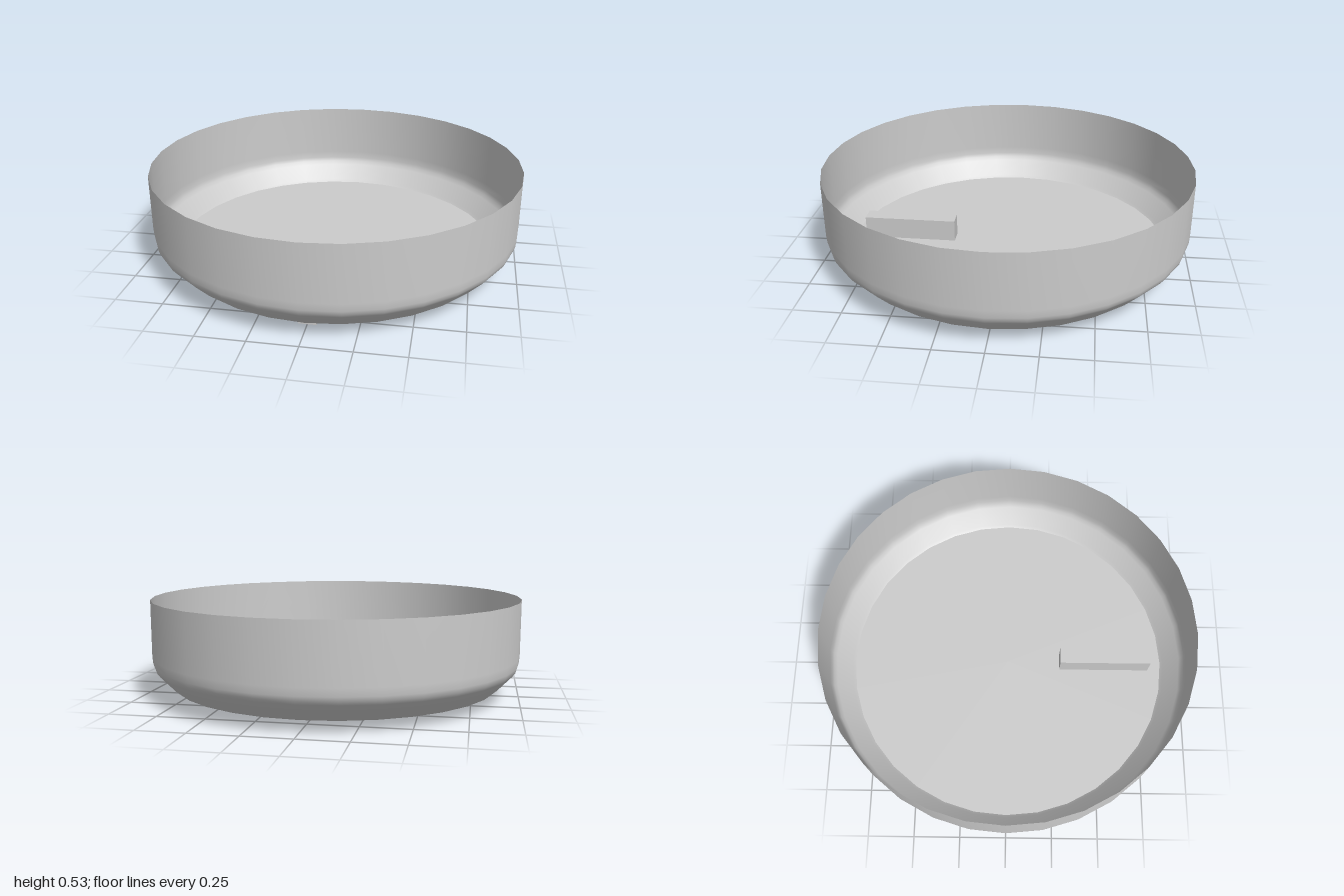
import * as THREE from 'three';

const SEGMENTS = 32;
const FLOOR_Y = 0.055;
const FLOOR_R = 0.885;

export function createModel() {
  const group = new THREE.Group();
  group.name = 'roundTray';
  const thin = new THREE.MeshStandardMaterial({ color: 0xcccccc, side: THREE.DoubleSide });
  const solid = new THREE.MeshStandardMaterial({ color: 0xcccccc });

  const add = (name, geometry, material) => {
    const mesh = new THREE.Mesh(geometry, material);
    mesh.name = name;
    group.add(mesh);
    return mesh;
  };

  // Thin open wall with a softened bevel at its foot
  const profile = [
    [FLOOR_R, FLOOR_Y], [0.9, 0.068], [0.975, 0.147], [0.99, 0.167], [0.997, 0.19], [1, 0.23], [1, 0.528],
  ].map(([r, y]) => new THREE.Vector2(r, y));
  add('wall', new THREE.LatheGeometry(profile, SEGMENTS), thin);

  // Flat floor disc
  const floor = add('floor', new THREE.CircleGeometry(FLOOR_R, SEGMENTS).rotateX(-Math.PI / 2), thin);
  floor.position.y = FLOOR_Y;

  // Bar passing through the floor near the front
  const bar = add('bar', new THREE.BoxGeometry(0.09, 0.175, 0.51), solid);
  bar.position.set(0, 0.0875, 0.555);

  return group;
}
